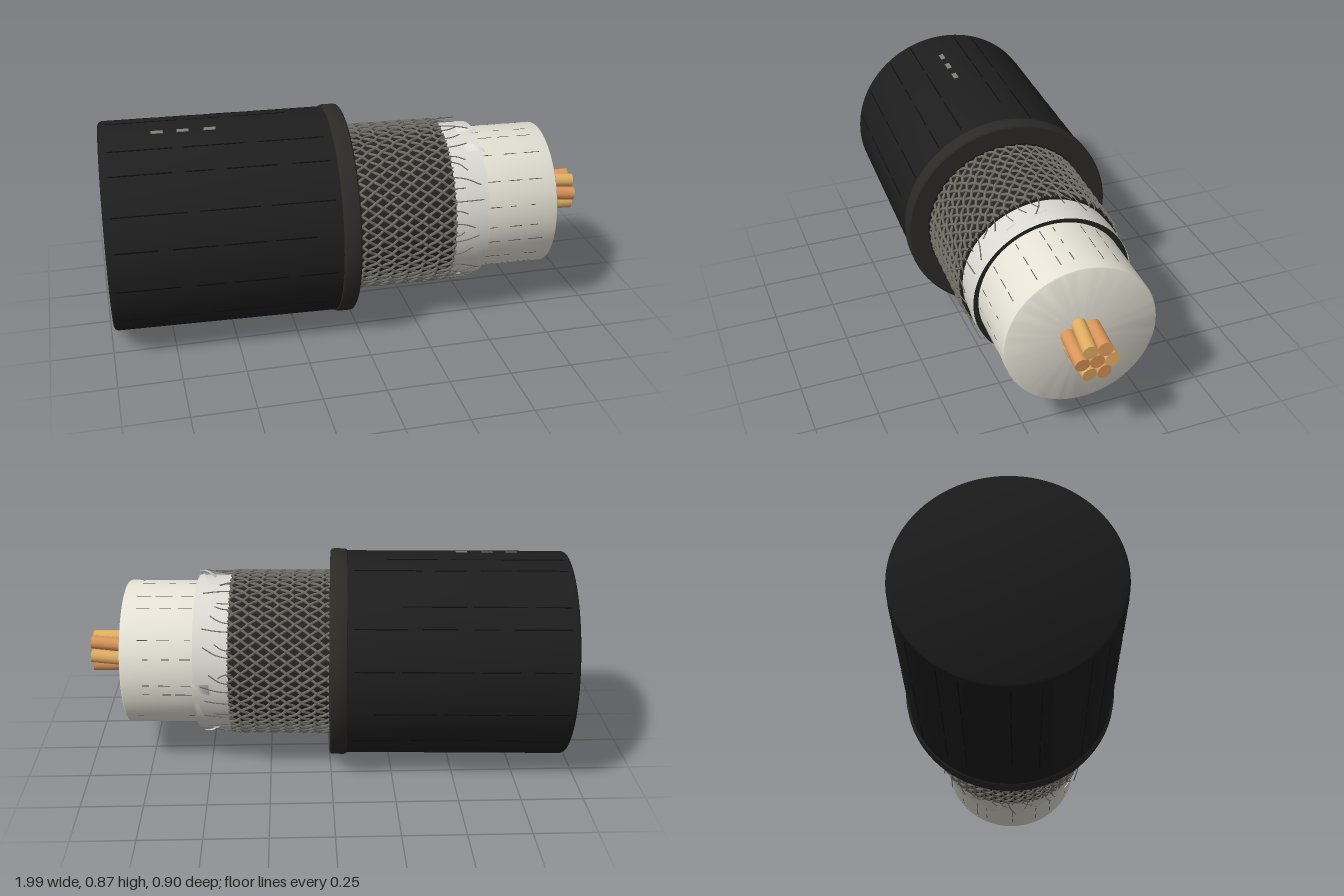
import * as THREE from 'three';
import { toCreasedNormals, mergeGeometries } from 'three/addons/utils/BufferGeometryUtils.js';

const mat = (color, extra = {}) =>
  new THREE.MeshStandardMaterial({ color, side: THREE.DoubleSide, ...extra });
const MATS = {
  jacket: mat(0x1e1e1e), rim: mat(0x2c2a27), groove: mat(0x0d0d0d), mark: mat(0x7c7e78),
  core: mat(0x24231f), wire: mat(0x74736b), foil: mat(0xdad9d2), plastic: mat(0xe4e1d4),
  streak: mat(0x4c4a44), copper: mat(0xd9955a), copperLight: mat(0xe0ae62),
};

// Small seeded random generator
let seed = 7;
const rand = (a, b) => {
  seed = (seed * 16807) % 2147483647;
  return a + (b - a) * (seed / 2147483647);
};

// Point at axial position x, radius r, angle a around the cable (0 = up, turning to +z)
const polar = (x, r, a) => new THREE.Vector3(x, r * Math.cos(a), r * Math.sin(a));

function mesh(name, geometry, material) {
  const m = new THREE.Mesh(geometry, material);
  m.name = name;
  return m;
}

// Profile of [x, radius] pairs turned around the x axis
function turned(name, profile, material, segments = 96) {
  const g = new THREE.LatheGeometry(profile.map(([x, r]) => new THREE.Vector2(r, x)), segments);
  g.rotateZ(-Math.PI / 2);
  return mesh(name, toCreasedNormals(g, 0.6), material);
}

// Thin strip lying along the surface of a cylinder
function strip(x, length, r, a, width, height = 0.003) {
  const g = new THREE.BoxGeometry(length, height, width);
  g.translate(x + length / 2, r, 0);
  g.rotateX(a);
  return g;
}

const tube = (points, segments, radius, sides) =>
  new THREE.TubeGeometry(new THREE.CatmullRomCurve3(points), segments, radius, sides);

// Woven shield: two opposing sets of wires passing over and under one another
function braid() {
  const count = 48, twist = 0.9, x0 = -0.02, length = 0.42, parts = [];
  for (const dir of [1, -1]) {
    for (let i = 0; i < count; i++) {
      const points = [];
      for (let s = 0; s <= 56; s++) {
        const t = s / 56;
        const crossing = (twist * t * count) / Math.PI;
        const r = 0.337 + dir * 0.004 * Math.cos(Math.PI * crossing);
        points.push(polar(x0 + length * t, r, (i / count) * Math.PI * 2 + dir * twist * t));
      }
      parts.push(tube(points, 56, 0.006, 4));
    }
  }
  return mesh('braidedShield', mergeGeometries(parts), MATS.wire);
}

// Loose wire ends at the cut edge of the braid
function frayedWires() {
  const parts = [];
  for (let i = 0; i < 44; i++) {
    const a = (i / 44) * Math.PI * 2 + rand(-0.06, 0.06);
    const len = rand(0.03, 0.12), bend = rand(-0.14, 0.14), lift = rand(-0.008, 0.012);
    parts.push(tube([
      polar(0.385, 0.339, a),
      polar(0.4 + len * 0.45, 0.338 + lift * 0.4, a + bend * 0.3),
      polar(0.4 + len, 0.336 + lift, a + bend),
    ], 6, 0.0025, 4));
  }
  return mesh('frayedWires', mergeGeometries(parts), MATS.wire);
}

// Band of foil wound over the sleeve, with a slanting, slightly lifted edge
function foilWrap(startAngle, sweep, x0, x1) {
  const g = new THREE.PlaneGeometry(1, 1, 40, 3);
  const p = g.attributes.position;
  for (let i = 0; i < p.count; i++) {
    const u = p.getX(i) + 0.5, v = p.getY(i) + 0.5;
    const edge = x0 + (x1 - x0) * u;
    const x = edge + (0.535 - edge) * v;
    const r = 0.322 + 0.006 * (1 - v) * u;
    p.setXYZ(i, ...polar(x, r, startAngle + sweep * u).toArray());
  }
  g.computeVertexNormals();
  return g;
}

// Small torn curl of foil
function foilFlake(a, x) {
  const g = new THREE.PlaneGeometry(1, 1, 5, 2);
  const p = g.attributes.position;
  for (let i = 0; i < p.count; i++) {
    const u = p.getX(i) + 0.5, v = p.getY(i) * (1 - 0.8 * u);
    const q = polar(x + 0.075 * u, 0.32 + 0.024 * Math.sin(u * 2.3), a + 0.16 * v + 0.12 * u);
    p.setXYZ(i, q.x, q.y, q.z);
  }
  g.computeVertexNormals();
  return g;
}

// One round strand between two points, with flat ends
function strand(from, to, radius) {
  const dir = to.clone().sub(from);
  const g = new THREE.CylinderGeometry(radius, radius, dir.length(), 20);
  g.applyQuaternion(new THREE.Quaternion().setFromUnitVectors(
    new THREE.Vector3(0, 1, 0), dir.clone().normalize()));
  g.translate(...from.clone().add(to).multiplyScalar(0.5).toArray());
  return g;
}

export function createModel() {
  seed = 7;
  const cable = new THREE.Group();
  cable.name = 'cable';

  // Outer jacket and its thicker cut rim
  cable.add(turned('jacket', [[-0.98, 0], [-0.98, 0.412], [-0.976, 0.42], [-0.966, 0.425],
    [-0.06, 0.425]], MATS.jacket));
  cable.add(turned('jacketRim', [[-0.078, 0.42], [-0.074, 0.429], [-0.064, 0.433], [-0.02, 0.433],
    [-0.01, 0.431], [-0.005, 0.424], [-0.005, 0.35], [-0.02, 0.33]], MATS.rim));

  // Fine broken lines along the jacket
  const grooves = [];
  for (let i = 0; i < 18; i++) {
    const a = (i / 18) * Math.PI * 2 + rand(-0.1, 0.1);
    for (let x = -0.95; x < -0.25;) {
      const len = rand(0.1, 0.3);
      grooves.push(strip(x, Math.min(len, -0.1 - x), 0.4245, a, 0.005));
      x += len + rand(0.02, 0.06);
    }
  }
  cable.add(mesh('jacketLines', mergeGeometries(grooves), MATS.groove));

  // Three pale dashes on top of the jacket
  const dashes = [-0.775, -0.675, -0.57].map((x) => strip(x, 0.047, 0.425, 0.155, 0.02));
  cable.add(mesh('jacketMarks', mergeGeometries(dashes), MATS.mark));

  // Braided shield over a dark core
  cable.add(turned('braidCore', [[-0.03, 0.333], [0.398, 0.333], [0.398, 0.3]], MATS.core));
  cable.add(braid(), frayedWires());

  // Foil layer: sleeve, wound overlaps and torn flakes, with a dark gap inside
  cable.add(turned('foilSleeve', [[0.38, 0.321], [0.54, 0.321]], MATS.foil));
  cable.add(turned('foilGap', [[0.53, 0.32], [0.53, 0.29]], MATS.core));
  const foil = [];
  for (let i = 0; i < 3; i++) foil.push(foilWrap(i * 2.1 + 0.4, 1.9, 0.4, 0.52));
  for (const a of [0.1, 0.45, 2.9, 3.3, 4.6]) foil.push(foilFlake(a, rand(0.45, 0.475)));
  cable.add(mesh('foilWraps', mergeGeometries(foil), MATS.foil));

  // Insulating core with faint streaks
  cable.add(turned('insulator', [[0.38, 0.298], [0.828, 0.298], [0.833, 0.296], [0.836, 0.291],
    [0.836, 0]], MATS.plastic));
  const streaks = [];
  for (let i = 0; i < 20; i++) {
    const a = (i / 20) * Math.PI * 2 + rand(-0.1, 0.1);
    for (let k = 0; k < 3; k++) {
      streaks.push(strip(0.55 + k * 0.085, rand(0.02, 0.07), 0.297, a, 0.003, 0.0025));
    }
  }
  cable.add(mesh('insulatorStreaks', mergeGeometries(streaks), MATS.streak));

  // Conductor: one centre strand with six twisted around it
  const conductor = new THREE.Group();
  conductor.name = 'conductor';
  conductor.add(mesh('centreStrand',
    strand(polar(0.8, 0, 0), polar(0.99, 0, 0), 0.028), MATS.copper));
  for (let i = 0; i < 6; i++) {
    const a = Math.PI / 2 + (i * Math.PI) / 3;
    conductor.add(mesh('outerStrand',
      strand(polar(0.8, 0.058, a - 0.36), polar(0.993, 0.058, a), 0.028),
      i % 2 ? MATS.copperLight : MATS.copper));
  }
  cable.add(conductor);

  // The cable lies at a slight angle
  cable.rotation.y = -0.0425;
  cable.position.set(0, 0.433, 0.017);
  const model = new THREE.Group();
  model.name = 'strippedCable';
  model.add(cable);
  return model;
}
